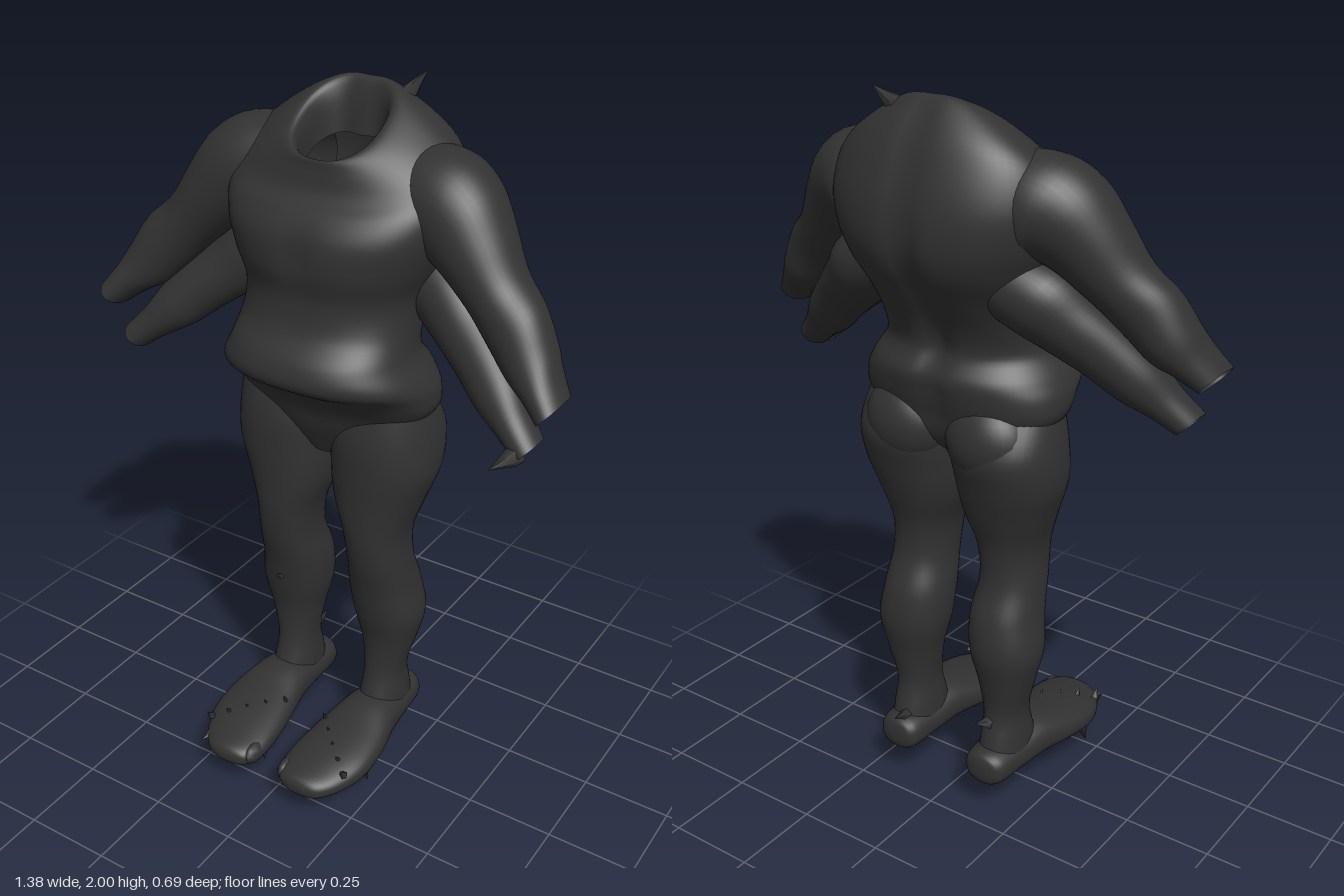
import * as THREE from 'three';

const skin = new THREE.MeshStandardMaterial({ color: 0x323232, side: THREE.DoubleSide });
skin.name = 'charcoal skin';

// Smooth interpolation between neighbouring key rows
function sampleRows(rows, steps) {
  const out = [];
  const at = (i) => rows[Math.min(Math.max(i, 0), rows.length - 1)];
  for (let i = 0; i < rows.length - 1; i++) {
    for (let s = 0; s < steps; s++) {
      const t = s / steps;
      out.push(rows[i].map((b, k) => {
        const a = at(i - 1)[k], c = at(i + 1)[k], d = at(i + 2)[k];
        return b + 0.5 * t * (c - a + t * (2 * a - 5 * b + 4 * c - d + t * (3 * (b - c) + d - a)));
      }));
    }
  }
  out.push(rows[rows.length - 1]);
  return out;
}

// Skin a tube over key rows; ring(row, cos, sin) gives a point
function loft(name, rows, ring, { steps = 5, seg = 40, capEnds = false } = {}) {
  const all = sampleRows(rows, steps), pos = [], idx = [];
  for (const row of all) {
    for (let j = 0; j < seg; j++) {
      const a = (j / seg) * Math.PI * 2;
      pos.push(...ring(row, Math.cos(a), Math.sin(a)));
    }
  }
  for (let i = 0; i < all.length - 1; i++) {
    for (let j = 0; j < seg; j++) {
      const a = i * seg + j, b = i * seg + (j + 1) % seg;
      idx.push(a, a + seg, b, b, a + seg, b + seg);
    }
  }
  if (capEnds) {
    const last = (all.length - 1) * seg;
    for (let j = 1; j < seg - 1; j++) idx.push(0, j, j + 1, last, last + j + 1, last + j);
  }
  const geo = new THREE.BufferGeometry();
  geo.setAttribute('position', new THREE.Float32BufferAttribute(pos, 3));
  geo.setIndex(idx);
  geo.computeVertexNormals();
  const mesh = new THREE.Mesh(geo, skin);
  mesh.name = name;
  return mesh;
}

const soft = (v, p) => Math.sign(v) * Math.pow(Math.abs(v), p);
const bump = (v, c, w) => Math.exp(-(((v - c) / w) ** 2));

// Thin pointed shard from a base point to a tip
function spike(name, from, to, r) {
  const a = new THREE.Vector3(...from), b = new THREE.Vector3(...to);
  const dir = b.clone().sub(a);
  const mesh = new THREE.Mesh(new THREE.ConeGeometry(r, dir.length(), 5), skin);
  mesh.position.copy(a).add(b).multiplyScalar(0.5);
  mesh.quaternion.setFromUnitVectors(new THREE.Vector3(0, 1, 0), dir.normalize());
  mesh.name = name;
  return mesh;
}

// Torso rows: height, half width, front z, back z, tilt
const torsoRows = [
  [1.02, 0.05, 0.02, -0.10, 0], [1.10, 0.20, 0.055, -0.19, 0], [1.18, 0.285, 0.085, -0.215, 0],
  [1.24, 0.298, 0.135, -0.23, 0], [1.29, 0.283, 0.205, -0.235, 0], [1.35, 0.25, 0.20, -0.205, 0],
  [1.42, 0.24, 0.15, -0.225, 0], [1.50, 0.245, 0.135, -0.275, 0], [1.58, 0.28, 0.15, -0.325, 0],
  [1.66, 0.31, 0.145, -0.345, 0], [1.74, 0.32, 0.11, -0.335, 0.1], [1.82, 0.29, 0.07, -0.29, 0.35],
  [1.88, 0.21, 0.055, -0.24, 0.5], [1.91, 0.13, 0.05, -0.20, 0.6],
  [1.88, 0.105, 0.03, -0.18, 0.6], [1.80, 0.10, 0.01, -0.17, 0.5],
];
function torsoRing([y, w, zf, zb, tilt], c, s) {
  const x = w * soft(c, 0.85), mid = (zf + zb) / 2;
  let z = mid + ((zf - zb) / 2) * soft(s, 0.88);
  const groove = bump(x, 0, 0.035);
  if (s < 0) z += 0.03 * groove * bump(y, 1.5, 0.3) * -s;
  else z -= 0.012 * groove * bump(y, 1.62, 0.07) * s;
  return [x, y + tilt * (mid - z), z];
}

// Leg rows: height, inner x, outer x, front z, back z
const legRows = [
  [1.20, 0.03, 0.28, 0.05, -0.18], [1.10, 0, 0.298, 0.07, -0.235], [1.00, 0, 0.298, 0.07, -0.215],
  [0.90, 0.015, 0.265, 0.065, -0.185], [0.80, 0.05, 0.235, 0.06, -0.155], [0.70, 0.06, 0.235, 0.045, -0.155],
  [0.60, 0.05, 0.245, 0.02, -0.19], [0.50, 0.055, 0.258, 0, -0.20], [0.40, 0.08, 0.235, -0.02, -0.18],
  [0.30, 0.095, 0.21, -0.02, -0.165], [0.22, 0.09, 0.215, 0, -0.18], [0.14, 0.085, 0.22, 0.03, -0.20],
];
// Foot rows: z, inner x, outer x, sole y, top y
const footRows = [
  [-0.22, 0.13, 0.17, 0.13, 0.17], [-0.20, 0.09, 0.21, 0.10, 0.20], [-0.10, 0.08, 0.225, 0.10, 0.21],
  [0, 0.07, 0.24, 0.10, 0.225], [0.10, 0.05, 0.26, 0.095, 0.205], [0.20, 0.035, 0.26, 0.085, 0.185],
  [0.28, 0.035, 0.23, 0.085, 0.165], [0.33, 0.06, 0.19, 0.09, 0.15], [0.345, 0.10, 0.15, 0.11, 0.13],
];
// Arm rows: centre x y z, thickness, depth, angle of the thickness axis
const upperArmRows = [
  [0.12, 1.76, -0.13, 0.10, 0.11, 1.57], [0.26, 1.735, -0.12, 0.135, 0.135, 1.45],
  [0.32, 1.71, -0.105, 0.13, 0.13, 1.0], [0.375, 1.655, -0.085, 0.108, 0.115, 0.65],
  [0.45, 1.57, -0.06, 0.085, 0.095, 0.7], [0.52, 1.50, -0.035, 0.085, 0.085, 0.75],
  [0.575, 1.43, -0.015, 0.073, 0.083, 0.75], [0.62, 1.385, 0.01, 0.053, 0.078, 0.8],
  [0.662, 1.342, 0.035, 0.042, 0.073, 0.85],
];
const lowerArmRows = [
  [0.16, 1.56, -0.15, 0.09, 0.09, 1.1], [0.27, 1.51, -0.13, 0.10, 0.10, 0.95],
  [0.34, 1.45, -0.10, 0.088, 0.09, 0.8], [0.42, 1.385, -0.06, 0.078, 0.08, 0.8],
  [0.49, 1.32, -0.025, 0.07, 0.075, 0.8], [0.55, 1.265, 0.005, 0.05, 0.062, 0.8],
  [0.605, 1.217, 0.03, 0.04, 0.055, 0.8],
];

export function createModel() {
  const model = new THREE.Group();
  model.name = 'four armed body';
  model.add(loft('torso', torsoRows, torsoRing, { seg: 72, steps: 6 }));

  for (const m of [1, -1]) {
    const side = m > 0 ? 'left' : 'right';
    const armRing = ([x, y, z, r, d, a], c, s) =>
      [m * (x + r * c * Math.cos(a)), y + r * c * Math.sin(a), z + d * s];
    model.add(loft(side + 'UpperArm', upperArmRows, armRing));
    model.add(loft(side + 'LowerArm', lowerArmRows, armRing));
    model.add(loft(side + 'Leg', legRows, ([y, xi, xo, zf, zb], c, s) =>
      [m * ((xi + xo) / 2 + ((xo - xi) / 2) * soft(c, 0.92)), y, (zf + zb) / 2 + ((zf - zb) / 2) * soft(s, 0.92)]));
    model.add(loft(side + 'Foot', footRows, ([z, xi, xo, yb, yt], c, s) =>
      [m * ((xi + xo) / 2 + ((xo - xi) / 2) * c), (yb + yt) / 2 + ((yt - yb) / 2) * soft(s, 0.8), z], { capEnds: true }));

    // Rounded buttock
    const buttock = new THREE.Mesh(new THREE.SphereGeometry(1, 32, 20), skin);
    buttock.scale.set(0.125, 0.12, 0.10);
    buttock.position.set(m * 0.13, 1.12, -0.143);
    buttock.name = side + 'Buttock';
    model.add(buttock);

    // Ragged toes along the front of the foot
    for (let i = 0; i < 5; i++) {
      const toe = new THREE.Mesh(new THREE.SphereGeometry(1, 10, 8), skin);
      toe.scale.set(0.023, 0.03, 0.045);
      toe.position.set(m * (0.058 + i * 0.041), 0.125, 0.297 - 0.012 * (i - 1) ** 2);
      toe.name = side + 'Toe';
      model.add(toe);
      const x = m * (0.07 + i * 0.04);
      model.add(spike(side + 'InstepSpike', [x, 0.16, 0.10 + 0.04 * i], [x, 0.212 - 0.006 * i, 0.12 + 0.04 * i], 0.012));
    }
  }

  // Torn shards: neck, feet, heel and wrist
  const shards = [
    ['neckSpike', [0.10, 1.93, -0.18], [0.13, 2, -0.26], 0.035],
    ['soleSpike', [-0.20, 0.11, 0.22], [-0.21, 0.01, 0.25], 0.03],
    ['soleSpike', [-0.13, 0.11, 0.19], [-0.13, 0, 0.20], 0.03],
    ['soleSpike', [-0.07, 0.11, 0.22], [-0.065, 0.05, 0.23], 0.02],
    ['soleSpike', [0.15, 0.11, 0.17], [0.145, 0.03, 0.17], 0.03],
    ['soleSpike', [0.09, 0.11, 0.22], [0.08, 0.055, 0.23], 0.02],
    ['soleSpike', [0.22, 0.11, 0.14], [0.235, 0.05, 0.14], 0.02],
    ['toeSpike', [-0.20, 0.13, 0.25], [-0.215, 0.13, 0.335], 0.03],
    ['heelSpike', [-0.14, 0.27, -0.15], [-0.13, 0.295, -0.215], 0.025],
    ['heelSpike', [0.14, 0.20, -0.17], [0.13, 0.225, -0.245], 0.02],
    ['wristSpike', [0.585, 1.21, 0.06], [0.57, 1.22, 0.175], 0.03],
    ['shinSpike', [-0.15, 0.54, 0], [-0.15, 0.56, 0.035], 0.012],
  ];
  for (const s of shards) model.add(spike(...s));
  return model;
}
